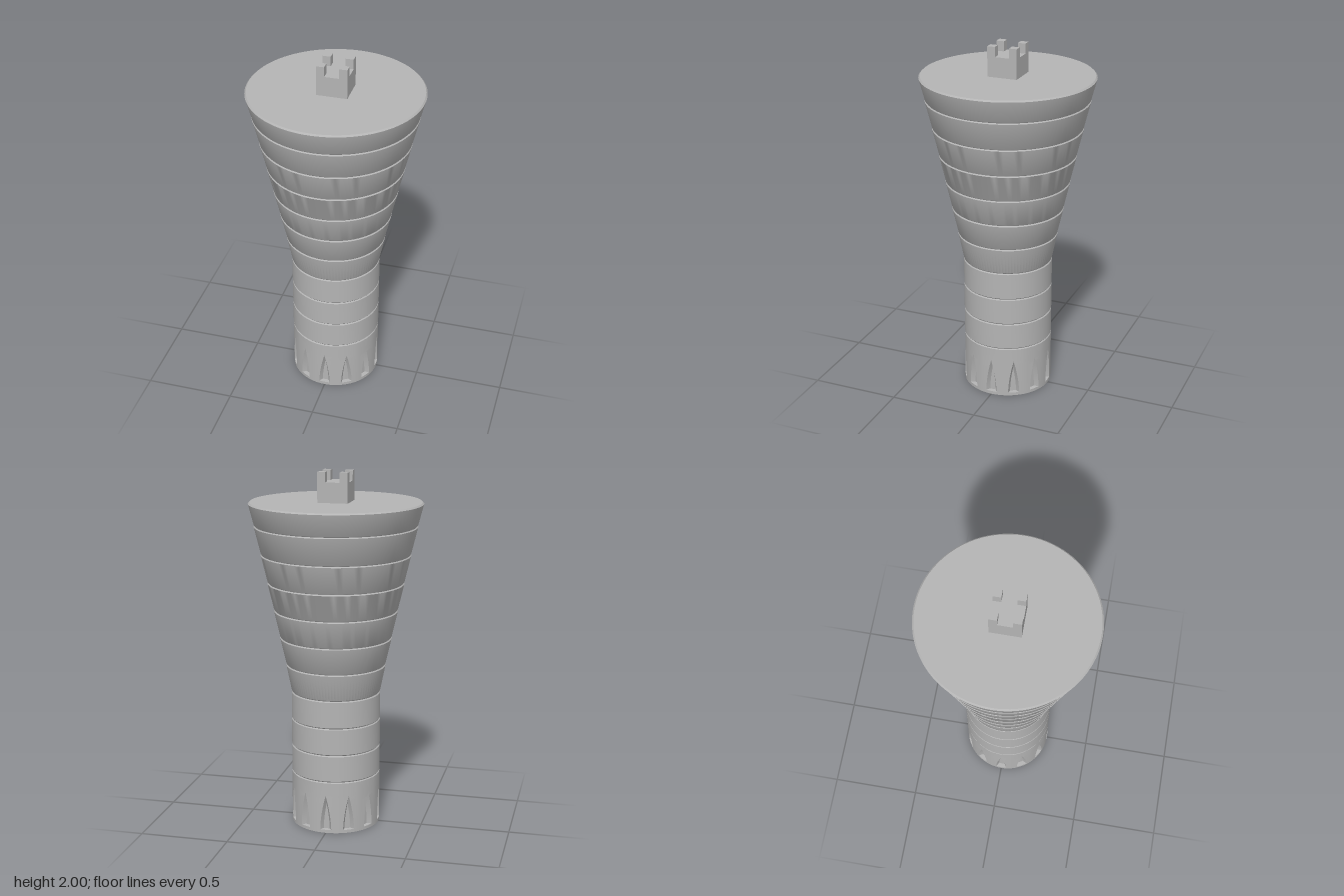
import * as THREE from 'three';
import { toCreasedNormals } from 'three/addons/utils/BufferGeometryUtils.js';

const stone = new THREE.MeshStandardMaterial({ color: 0xb4b4b4 });
stone.name = 'grey stone';

const SHAFT_R = 0.25, NICHES = 12;

function add(parent, name, geometry, x = 0, y = 0, z = 0) {
  const mesh = new THREE.Mesh(geometry, stone);
  mesh.name = name;
  mesh.position.set(x, y, z);
  parent.add(mesh);
  return mesh;
}

// Stacked bands parted by thin V grooves, straight below and flaring above
function bandedShaft() {
  const grooves = [
    [0.25, 0.30], [0.25, 0.455], [0.25, 0.61], [0.25, 0.768], [0.279, 0.925],
    [0.312, 1.08], [0.345, 1.235], [0.379, 1.39], [0.414, 1.547], [0.45, 1.705],
  ];
  const points = [];
  grooves.forEach(([r, y], i) => {
    if (i > 0) points.push(new THREE.Vector2(r, y - 0.006));
    points.push(new THREE.Vector2(r - 0.005, y), new THREE.Vector2(r, y + 0.006));
  });
  points.push(
    new THREE.Vector2(0.48, 1.826),
    new THREE.Vector2(0.472, 1.834),
    new THREE.Vector2(0, 1.834),
  );
  return toCreasedNormals(new THREE.LatheGeometry(points, 96), 0.5);
}

// Base drum: a grid wrapped round the axis, pushed in at each pointed niche
function nichedBase() {
  const bottom = 0.018, top = 0.22, halfWidth = 0.032, splay = 0.013, depth = 0.025;
  // each row: height, niche half width, recessed or not, wall radius
  const rows = [
    [0, halfWidth, false, SHAFT_R], [bottom, halfWidth, false, SHAFT_R],
  ];
  for (let i = 0; i <= 12; i++) {
    const t = i / 12;
    rows.push([bottom + (top - bottom) * t, halfWidth * (1 - t ** 1.7), true, SHAFT_R]);
  }
  rows.push([0.294, 0, false, SHAFT_R], [0.30, 0, false, SHAFT_R - 0.005]);

  const sector = (Math.PI * 2) / NICHES;
  const positions = [], index = [];
  const columns = NICHES * 8 + 1;
  for (const [y, w, recessed, radius] of rows) {
    const inner = Math.max(0, w - splay);
    const sunk = recessed ? depth * Math.min(1, w / splay) : 0;
    const edge = w / SHAFT_R, floor = inner / SHAFT_R;
    const profile = [
      [-sector / 2, 0], [-0.19, 0], [-edge, 0], [-floor, sunk],
      [0, sunk], [floor, sunk], [edge, 0], [0.19, 0],
    ];
    for (let c = 0; c < columns; c++) {
      const [offset, push] = profile[c % 8];
      const a = Math.floor(c / 8) * sector + offset, r = radius - push;
      positions.push(r * Math.sin(a), y, r * Math.cos(a));
    }
  }
  for (let j = 0; j < rows.length - 1; j++) {
    for (let c = 0; c < columns - 1; c++) {
      const a = j * columns + c, b = a + 1, d = a + columns, e = d + 1;
      index.push(a, b, e, a, e, d);
    }
  }
  const geometry = new THREE.BufferGeometry();
  geometry.setAttribute('position', new THREE.Float32BufferAttribute(positions, 3));
  geometry.setIndex(index);
  return toCreasedNormals(geometry, 0.4);
}

export function createModel() {
  const model = new THREE.Group();
  model.name = 'flaredTower';

  add(model, 'nichedBase', nichedBase());
  add(model, 'baseUnderside', new THREE.CircleGeometry(SHAFT_R, 96).rotateX(Math.PI / 2));
  add(model, 'bandedShaft', bandedShaft());

  // Small square turret with a post on each corner
  const turret = new THREE.Group();
  turret.name = 'turret';
  add(turret, 'turretBlock', new THREE.BoxGeometry(0.168, 0.114, 0.168), 0, 1.888, 0);
  for (const x of [-1, 1]) {
    for (const z of [-1, 1]) {
      add(turret, 'cornerPost', new THREE.BoxGeometry(0.044, 0.055, 0.044), x * 0.062, 1.9725, z * 0.062);
    }
  }
  model.add(turret);
  return model;
}
